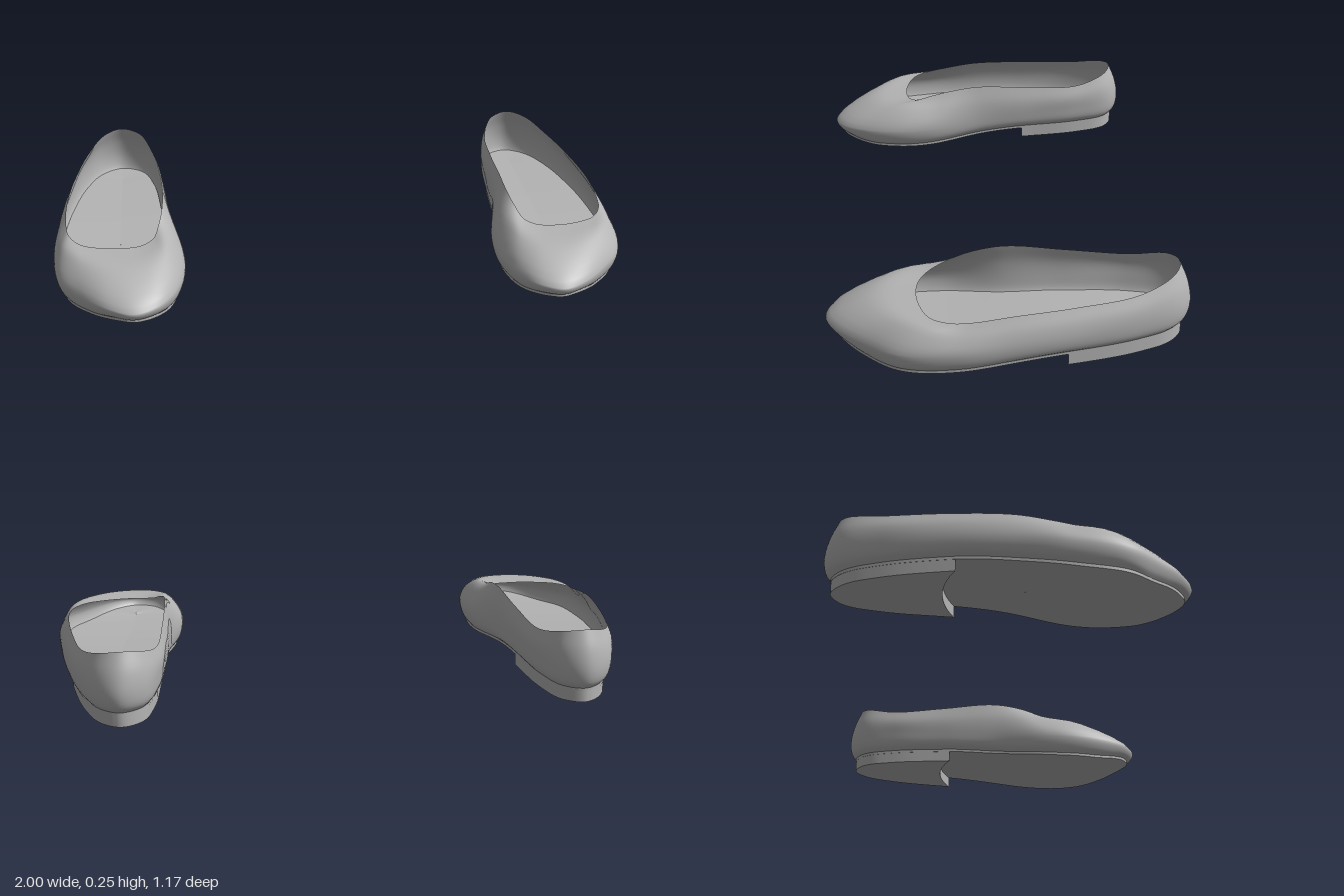
import * as THREE from 'three';
import { toCreasedNormals } from 'three/addons/utils/BufferGeometryUtils.js';

const V = (x, y, z) => new THREE.Vector3(x, y, z);
const COLS = 144;
const smooth = THREE.MathUtils.smoothstep;

// Widest outline of the left shoe: heel, outer side, toe, inner side
const WIDEST = [
  [.775, .12, -.585], [.855, .12, -.54], [.92, .12, -.4], [.965, .11, -.2], [.99, .10, 0], [1.0, .09, .17],
  [.973, .085, .345], [.90, .08, .445], [.80, .075, .545], [.72, .07, .58], [.645, .075, .55], [.588, .08, .47],
  [.55, .085, .34], [.55, .09, .2], [.595, .10, 0], [.615, .11, -.2], [.64, .12, -.4], [.69, .12, -.54]];

// Edge of the foot opening, point for point with the outline
const RIM = [
  [.77, .255, -.545], [.835, .243, -.515], [.895, .215, -.4], [.935, .205, -.2], [.955, .195, 0], [.953, .178, .12],
  [.94, .17, .19], [.90, .165, .25], [.83, .163, .28], [.755, .163, .29], [.69, .165, .28], [.65, .175, .25],
  [.63, .2, .19], [.618, .222, .12], [.615, .24, 0], [.628, .225, -.2], [.652, .215, -.4], [.70, .243, -.515]];

const loop = (pts) => {
  const curve = new THREE.CatmullRomCurve3(pts.map((p) => V(...p)), true, 'centripetal');
  return Array.from({ length: COLS }, (_, i) => curve.getPoint(i / COLS));
};

// Height of the underside: raised at the heel, low at the ball, lifted at the toe
const soleY = (z) => .046 - .034 * smooth(z, -.2, .3) + .02 * smooth(z, .4, .58);

// Nearest point on the shoe's long centre line
const spine = (p, y) => {
  const z = THREE.MathUtils.clamp(p.z, -.48, .48);
  return V(.775 - .05 * smooth(z, 0, .5), y, z);
};

// Move a point towards the centre line at a new height
const inset = (p, d, y) => {
  const dir = spine(p, p.y).sub(p).normalize();
  return V(p.x + dir.x * d, y, p.z + dir.z * d);
};

// Closed surface strip from one column of points per outline sample
function loft(columns, side) {
  const rows = columns[0].length, pos = [], index = [];
  columns.forEach((col) => col.forEach((p) => pos.push(p.x * side, p.y, p.z)));
  for (let i = 0; i < COLS; i++) {
    for (let j = 0; j < rows - 1; j++) {
      const a = i * rows + j, b = ((i + 1) % COLS) * rows + j;
      if (side > 0) index.push(a, a + 1, b, b, a + 1, b + 1);
      else index.push(a, b, a + 1, b, b + 1, a + 1);
    }
  }
  const geo = new THREE.BufferGeometry();
  geo.setAttribute('position', new THREE.Float32BufferAttribute(pos, 3));
  geo.setIndex(index);
  geo.computeVertexNormals();
  return geo;
}

function makeShoe(side, material) {
  const shoe = new THREE.Group();
  const add = (name, geo) => {
    const mesh = new THREE.Mesh(geo, material);
    mesh.name = name;
    shoe.add(mesh);
  };
  const widest = loop(WIDEST), rim = loop(RIM);
  const bottom = widest.map((p) => inset(p, .028, soleY(p.z)));
  const low = widest.map((p) => inset(p, .008, THREE.MathUtils.lerp(soleY(p.z), p.y, .35)));

  // Upper: curves in from the sole, bulges at the sides and domes over the toes
  add('upper', loft(widest.map((w, i) => {
    const shoulder = w.clone().lerp(rim[i], .5);
    const front = smooth(w.z, .2, .45);
    const out = inset(shoulder, -.008 * (1 - front), shoulder.y + .035 * front);
    return new THREE.CatmullRomCurve3([bottom[i], low[i], w, out, rim[i]], false, 'centripetal').getPoints(18);
  }), side));

  // Insole: floor seen through the opening
  add('insole', loft(low.map((p) => {
    const edge = inset(p, .003, p.y), mid = spine(p, p.y - .004);
    return [0, .25, .5, .75, 1].map((t) => edge.clone().lerp(mid, t));
  }), side));

  // Outsole: thin plate under the whole shoe
  add('outsole', toCreasedNormals(loft(bottom.map((p) => {
    const y = soleY(p.z), edge = inset(p, -.004, y - .006), mid = spine(p, y - .006);
    mid.y = soleY(mid.z) - .006;
    const under = [0, .33, .66, 1].map((t) => {
      const q = mid.clone().lerp(edge, t);
      q.y = soleY(q.z) - .006;
      return q;
    });
    return [...under, inset(p, -.004, y + .005), inset(p, .004, y + .007)];
  }), side), .6));

  // Heel block: follows the outline, with a hollowed front edge
  const plan = [];
  for (let i = -COLS / 2; i < COLS / 2; i++) {
    const p = widest[(i + COLS) % COLS];
    if (p.z < -.165) {
      const q = inset(p, .025, 0);
      plan.push(new THREE.Vector2(q.x * side, q.z));
    }
  }
  const shape = new THREE.Shape(plan);
  shape.quadraticCurveTo(.79 * side, -.25, plan[0].x, plan[0].y);
  const heel = new THREE.ExtrudeGeometry(shape, { depth: .044, bevelEnabled: false, curveSegments: 16 });
  heel.rotateX(Math.PI / 2).translate(0, .044, 0);
  add('heel', toCreasedNormals(heel, .6));
  return shoe;
}

export function createModel() {
  const model = new THREE.Group();
  model.name = 'pairOfFlatShoes';
  const material = new THREE.MeshStandardMaterial({ color: 0xb4b4b4, side: THREE.DoubleSide });
  material.name = 'light grey';
  for (const side of [1, -1]) {
    const shoe = makeShoe(side, material);
    shoe.name = side > 0 ? 'leftShoe' : 'rightShoe';
    model.add(shoe);
  }
  return model;
}
